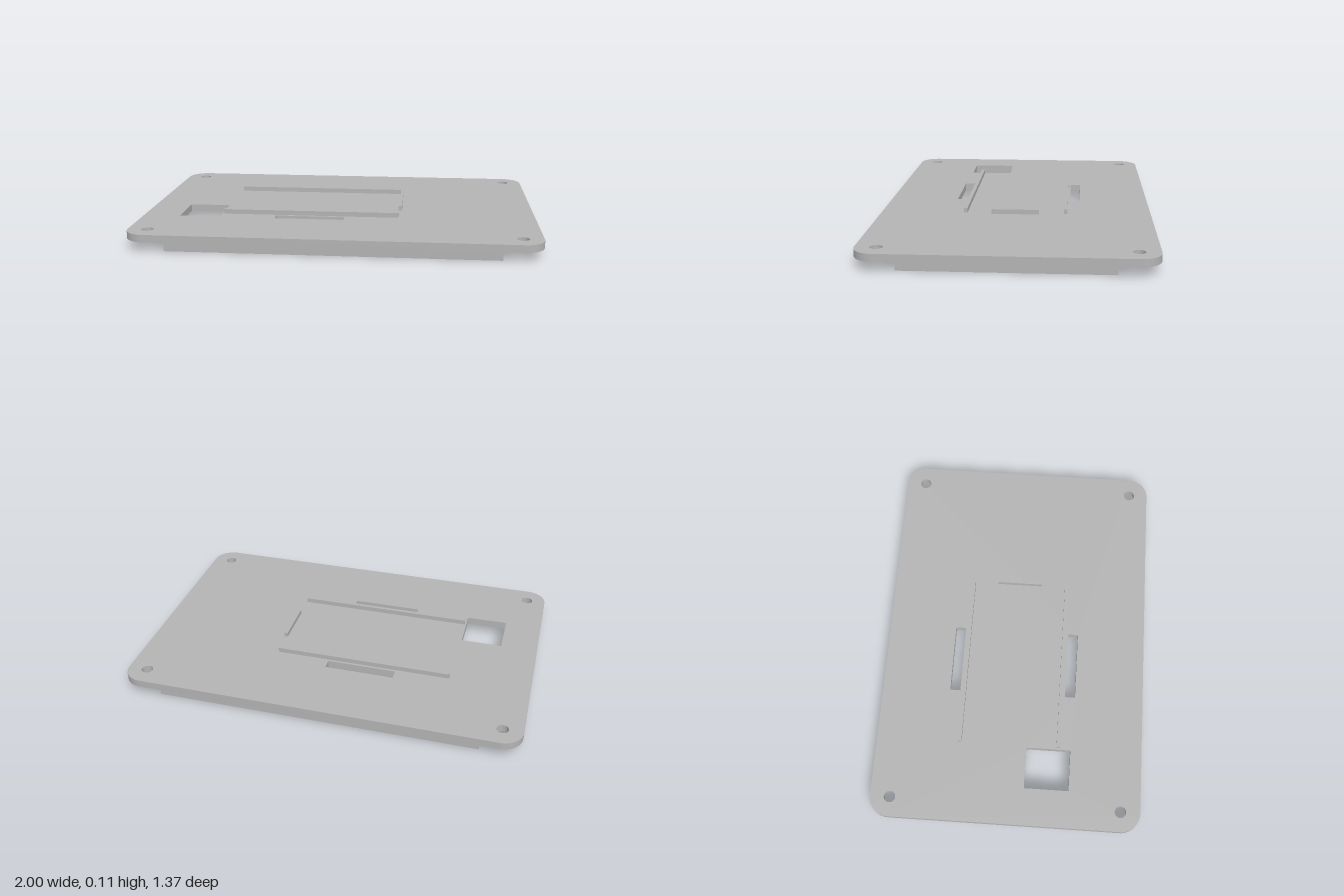
import * as THREE from 'three';
import { toCreasedNormals } from 'three/addons/utils/BufferGeometryUtils.js';

const BOTTOM = 0.051, TOP = 0.088, RAIL_TOP = 0.112;
const W = 1, D = 0.683, R = 0.1;

// Rectangular cutout from its x and z limits
function rectHole(x0, x1, z0, z1) {
  const p = new THREE.Path();
  p.moveTo(x0, z0);
  p.lineTo(x0, z1);
  p.lineTo(x1, z1);
  p.lineTo(x1, z0);
  p.closePath();
  return p;
}

export function createModel() {
  const model = new THREE.Group();
  model.name = 'coverPlate';
  const grey = new THREE.MeshStandardMaterial({ color: 0xb4b4b4 });
  grey.name = 'grey plastic';

  // Rounded plate, drawn in x and z
  const shape = new THREE.Shape();
  shape.moveTo(-W + R, -D);
  shape.lineTo(W - R, -D);
  shape.absarc(W - R, -D + R, R, -Math.PI / 2, 0);
  shape.lineTo(W, D - R);
  shape.absarc(W - R, D - R, R, 0, Math.PI / 2);
  shape.lineTo(-W + R, D);
  shape.absarc(-W + R, D - R, R, Math.PI / 2, Math.PI);
  shape.lineTo(-W, -D + R);
  shape.absarc(-W + R, -D + R, R, Math.PI, Math.PI * 1.5);

  // Screw holes, square window and two strap slots
  for (const sx of [-1, 1]) for (const sz of [-1, 1]) {
    const hole = new THREE.Path();
    hole.absarc(sx * 0.901, sz * 0.583, 0.029, 0, Math.PI * 2, true);
    shape.holes.push(hole);
  }
  shape.holes.push(
    rectHole(-0.813, -0.604, 0.091, 0.318),
    rectHole(-0.32, 0.032, -0.329, -0.276),
    rectHole(-0.32, 0.032, 0.276, 0.329)
  );
  const plateGeo = new THREE.ExtrudeGeometry(shape, { depth: TOP - BOTTOM, bevelEnabled: false, curveSegments: 12 });
  plateGeo.rotateX(Math.PI / 2);
  plateGeo.translate(0, TOP, 0);
  const plate = new THREE.Mesh(toCreasedNormals(plateGeo, 0.7), grey);
  plate.name = 'plate';
  model.add(plate);

  // Straight bar from its centre, size and height range
  function bar(name, x, z, w, d, y0, y1) {
    const mesh = new THREE.Mesh(new THREE.BoxGeometry(w, y1 - y0, d), grey);
    mesh.position.set(x, (y0 + y1) / 2, z);
    mesh.name = name;
    model.add(mesh);
  }

  for (const s of [-1, 1]) {
    // Locating lips under the plate
    bar(s > 0 ? 'frontLip' : 'backLip', 0, s * 0.642, 1.61, 0.018, 0, BOTTOM);
    bar(s > 0 ? 'leftLip' : 'rightLip', s * 0.953, 0, 0.018, 0.98, 0, BOTTOM);
    // Guide rails on top
    bar(s > 0 ? 'frontRail' : 'backRail', -0.145, s * 0.254, 0.9, 0.018, TOP, RAIL_TOP);
  }
  bar('endRail', 0.312, 0, 0.018, 0.24, TOP, RAIL_TOP);

  return model;
}
